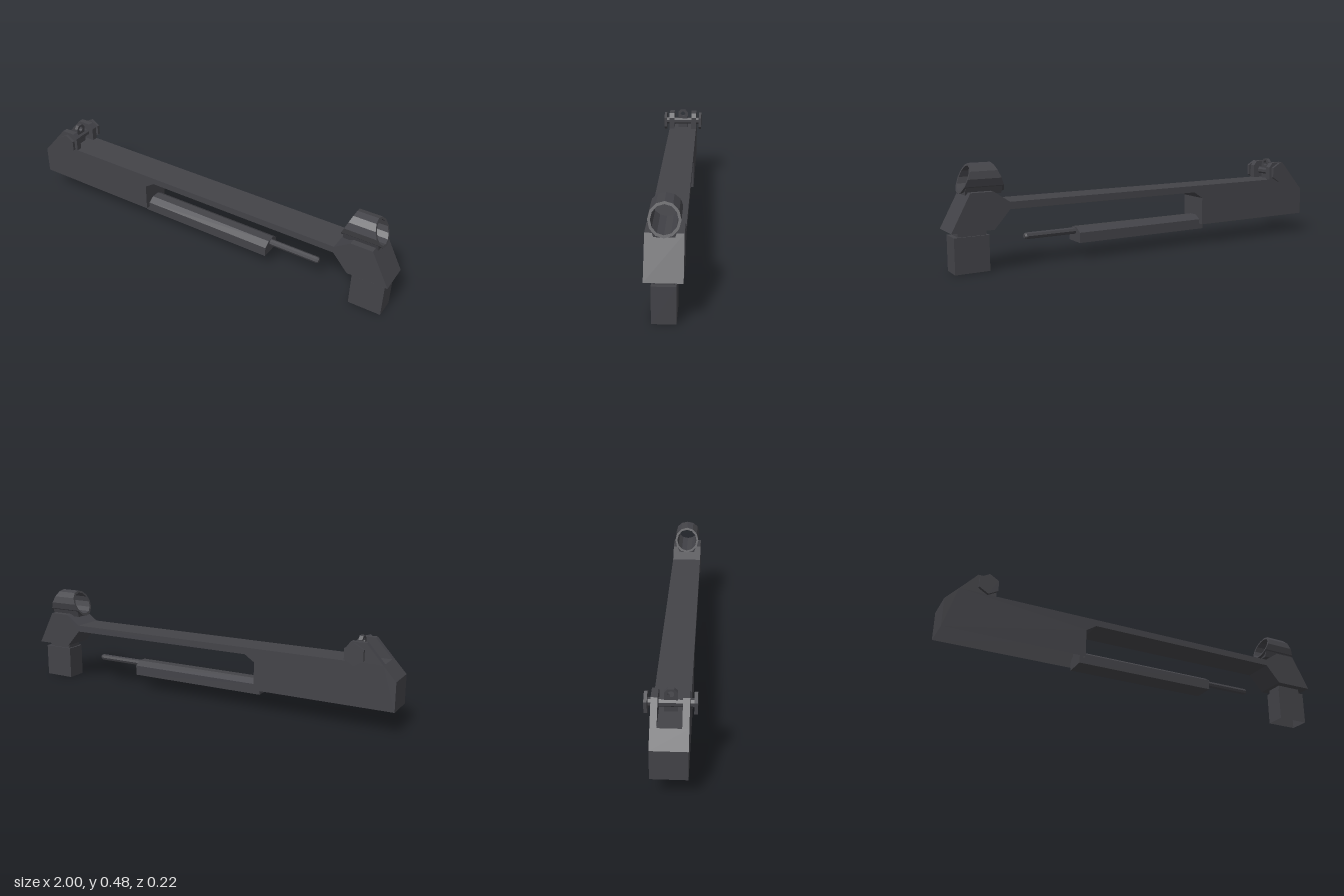
import * as THREE from 'three';

const steel = new THREE.MeshStandardMaterial({ color: 0x434348, side: THREE.DoubleSide, flatShading: true });
steel.name = 'dark steel';

function mesh(name, geometry) {
  const m = new THREE.Mesh(geometry, steel);
  m.name = name;
  return m;
}

const shapeOf = (pts) => new THREE.Shape(pts.map(([x, y]) => new THREE.Vector2(x, y)));

// Points around a regular polygon
function ngon(cx, cy, r, n, turn = 0) {
  return Array.from({ length: n }, (_, i) => {
    const a = turn + (i / n) * Math.PI * 2;
    return [cx + r * Math.cos(a), cy + r * Math.sin(a)];
  });
}

// Side profile (x, y) given depth in z
function extrudeZ(shape, z0, z1) {
  return new THREE.ExtrudeGeometry(shape, { depth: z1 - z0, bevelEnabled: false }).translate(0, 0, z0);
}

// End profile (-z, y) given length in x
function extrudeX(shape, x0, x1) {
  return new THREE.ExtrudeGeometry(shape, { depth: x1 - x0, bevelEnabled: false })
    .rotateY(Math.PI / 2).translate(x0, 0, 0);
}

// Counter-clockwise side profile as a shell whose first edge is left open
function openShell(pts, z0, z1) {
  const pos = [];
  const contour = pts.map(([x, y]) => new THREE.Vector2(x, y));
  for (const [a, b, c] of THREE.ShapeUtils.triangulateShape(contour, [])) {
    for (const i of [a, b, c]) pos.push(...pts[i], z1);
    for (const i of [a, c, b]) pos.push(...pts[i], z0);
  }
  for (let i = 1; i < pts.length; i++) {
    const p = pts[i], q = pts[(i + 1) % pts.length];
    pos.push(...p, z1, ...p, z0, ...q, z0, ...p, z1, ...q, z0, ...q, z1);
  }
  const g = new THREE.BufferGeometry();
  g.setAttribute('position', new THREE.Float32BufferAttribute(pos, 3));
  g.computeVertexNormals();
  return g;
}

export function createModel() {
  const model = new THREE.Group();
  model.name = 'receiverAssembly';
  const W = 0.078;

  // Rear housing, thin top rail and front tower in one outline, open below the housing
  model.add(mesh('receiverBody', openShell([
    [-1, 0.103], [-0.32, 0.103], [-0.32, 0.24], [-0.27, 0.273], [0.73, 0.273],
    [0.805, 0.188], [1, 0.188], [0.91, 0.357], [0.805, 0.357], [0.73, 0.306],
    [-0.94, 0.306], [-1, 0.24],
  ], -W, W)));

  // Rear sight: side ears, cross axle, hexagonal knobs and aperture
  const sightX = -0.815, sightY = 0.345;
  const ear = shapeOf([[-0.94, 0.306], [-0.77, 0.306], [-0.77, 0.372], [-0.79, 0.396], [-0.86, 0.396]]);
  const knob = shapeOf(ngon(sightX, sightY, 0.051, 6, Math.PI / 6));
  for (const s of [1, -1]) {
    const side = s > 0 ? 'left' : 'right';
    const span = (shape, a, b) => extrudeZ(shape, Math.min(s * a, s * b), Math.max(s * a, s * b));
    model.add(mesh(side + 'SightEar', span(ear, 0.05, W)));
    model.add(mesh(side + 'SightKnob', span(knob, 0.094, 0.108)));
  }
  model.add(mesh('sightAxle', extrudeZ(shapeOf(ngon(sightX, sightY, 0.019, 8, Math.PI / 8)), -0.096, 0.096)));

  const aperture = shapeOf([
    [-0.028, 0.306], [0.028, 0.306], [0.028, 0.395], [0.013, 0.411], [-0.013, 0.411], [-0.028, 0.395],
  ]);
  aperture.holes.push(new THREE.Path(ngon(0, 0.388, 0.014, 10).map(([x, y]) => new THREE.Vector2(x, y))));
  model.add(mesh('sightAperture', extrudeX(aperture, sightX - 0.009, sightX + 0.009)));

  // Front sight hood: a ring whose length shrinks towards the top
  const hoodY = 0.414, hoodR = 0.066;
  const ring = shapeOf(ngon(0, hoodY, hoodR, 12));
  ring.holes.push(new THREE.Path(ngon(0, hoodY, 0.055, 12).map(([x, y]) => new THREE.Vector2(x, y))));
  const hood = extrudeX(ring, -1, 1);
  const p = hood.attributes.position;
  for (let i = 0; i < p.count; i++) {
    const t = (p.getY(i) - (hoodY - hoodR)) / (2 * hoodR);
    p.setX(i, 0.838 + p.getX(i) * THREE.MathUtils.lerp(0.103, 0.05, t));
  }
  hood.computeVertexNormals();
  model.add(mesh('frontSightHood', hood));

  // Saddle that cups the lower part of the hood
  const cup = ngon(0, hoodY, hoodR - 0.003, 12).slice(7, 12);
  model.add(mesh('hoodSaddle', extrudeX(shapeOf([[-0.042, 0.344], [0.042, 0.344], ...cup.reverse()]), 0.755, 0.922)));

  // Post under the tower, open at the bottom
  model.add(mesh('postNeck', new THREE.BoxGeometry(0.13, 0.04, 0.084).translate(0.895, 0.175, 0)));
  model.add(mesh('frontPost', openShell([[0.82, 0], [0.98, 0], [0.98, 0.163], [0.82, 0.163]], -0.05, 0.05)));

  // Slide bar with bevelled top, and the rod leaving its front end
  model.add(mesh('slideBar', extrudeX(shapeOf([
    [-0.054, 0.077], [0.054, 0.077], [0.054, 0.126], [0.022, 0.147], [-0.022, 0.147], [-0.054, 0.126],
  ]), -0.34, 0.375)));
  const rod = new THREE.LatheGeometry(
    [[0, 0.37], [0.016, 0.37], [0.016, 0.625], [0.011, 0.635], [0, 0.635]].map(([r, x]) => new THREE.Vector2(r, x)), 8);
  model.add(mesh('slideRod', rod.rotateZ(-Math.PI / 2).translate(0, 0.129, 0)));

  return model;
}
